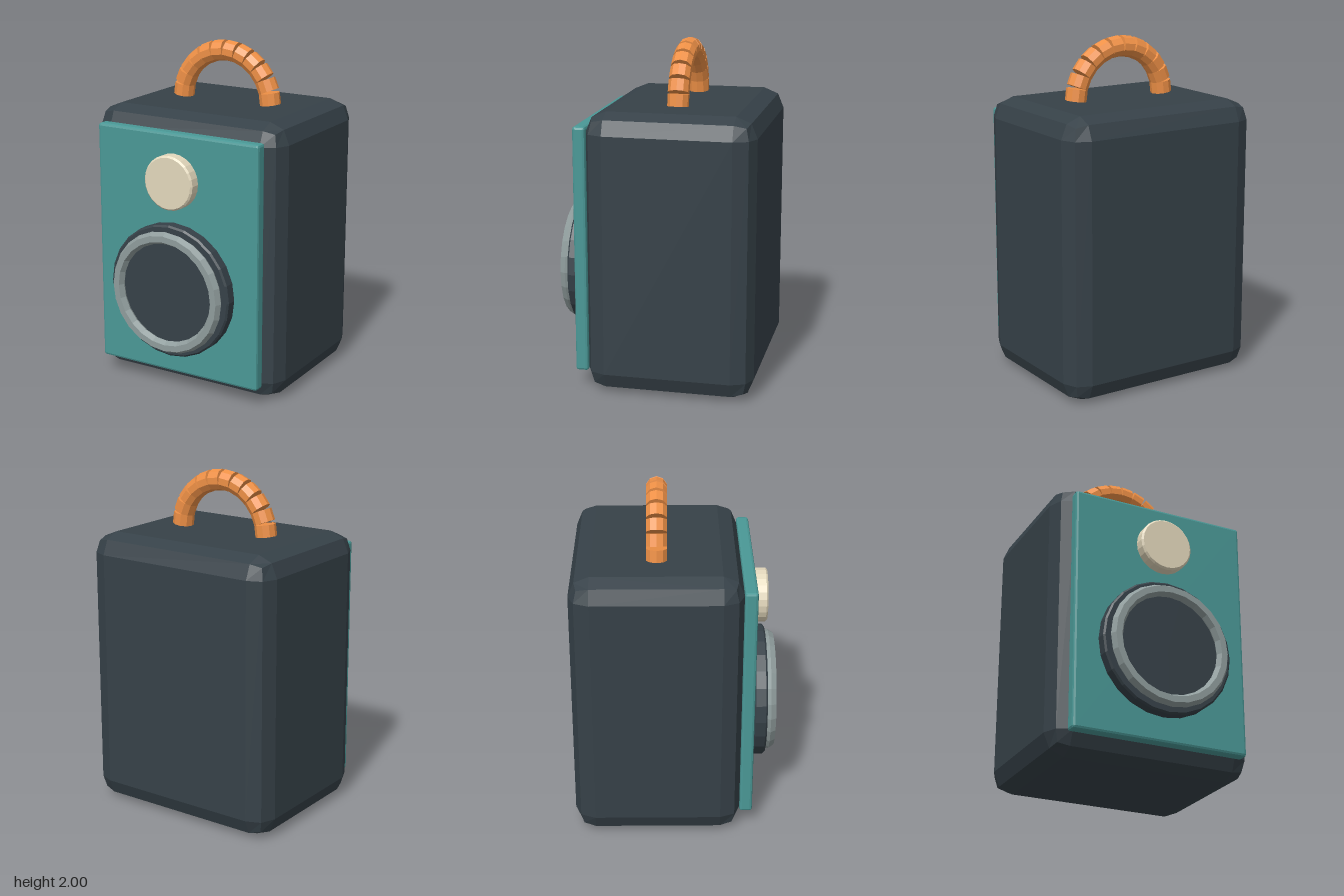
import * as THREE from 'three';

const mat = (color) => new THREE.MeshStandardMaterial({ color, flatShading: true });

// Box with two-step rounded edges: inner grid lines stay flat, outer ones bend to 45 degrees
function bevelBox(w, h, d, r) {
  const geo = new THREE.BoxGeometry(1, 1, 1, 3, 3, 3);
  const pos = geo.attributes.position;
  const core = [w / 2 - r, h / 2 - r, d / 2 - r];
  for (let i = 0; i < pos.count; i++) {
    const p = [pos.getX(i), pos.getY(i), pos.getZ(i)];
    const dir = new THREE.Vector3(...p.map((v) => (Math.abs(v) > 0.4 ? Math.sign(v) : 0))).normalize();
    const c = p.map((v, k) => Math.sign(v) * core[k]);
    pos.setXYZ(i, c[0] + dir.x * r, c[1] + dir.y * r, c[2] + dir.z * r);
  }
  geo.computeVertexNormals();
  return geo;
}

// Disc facing +z with softened rims, back at z = 0
function disc(radius, depth, b) {
  const profile = [
    [0, 0], [radius - b, 0], [radius, b],
    [radius, depth - b], [radius - b, depth], [0, depth],
  ].map(([x, y]) => new THREE.Vector2(x, y));
  return new THREE.LatheGeometry(profile, 24).rotateX(Math.PI / 2);
}

export function createModel() {
  const model = new THREE.Group();
  model.name = 'speaker';

  const dark = mat(0x364148);
  const teal = mat(0x4a9896);
  const cream = mat(0xe3d8bc);
  const grey = mat(0x8f9c9c);
  const orange = mat(0xee9046);

  function add(name, geometry, material, x, y, z, parent = model) {
    const mesh = new THREE.Mesh(geometry, material);
    mesh.name = name;
    mesh.position.set(x, y, z);
    parent.add(mesh);
    return mesh;
  }

  // Cabinet and front panel
  add('cabinet', bevelBox(1.24, 1.64, 0.976, 0.12), dark, 0, 0.82, -0.107);
  add('frontPanel', bevelBox(1.07, 1.45, 0.075, 0.015), teal, 0, 0.825, 0.417);

  // Small and large drivers
  add('tweeter', disc(0.16, 0.078, 0.01), cream, 0, 1.28, 0.463);
  add('woofer', disc(0.398, 0.078, 0.01), dark, 0, 0.635, 0.463);
  add('wooferRing', new THREE.TorusGeometry(0.33, 0.036, 6, 24), grey, 0, 0.635, 0.564);

  // Handle: an arch of short straight beads
  const handle = new THREE.Group();
  handle.name = 'handle';
  handle.position.set(0, 1.643, -0.105);
  model.add(handle);
  const beads = 12;
  const archRadius = 0.295;
  const beadGeo = new THREE.CylinderGeometry(0.062, 0.062, 0.07, 10).rotateY(Math.PI / 2);
  for (let i = 0; i < beads; i++) {
    const a = ((i + 0.5) / beads) * Math.PI;
    const bead = add('handleBead', beadGeo, orange,
      Math.cos(a) * archRadius, Math.sin(a) * archRadius, 0, handle);
    bead.rotation.z = a;
  }

  return model;
}
